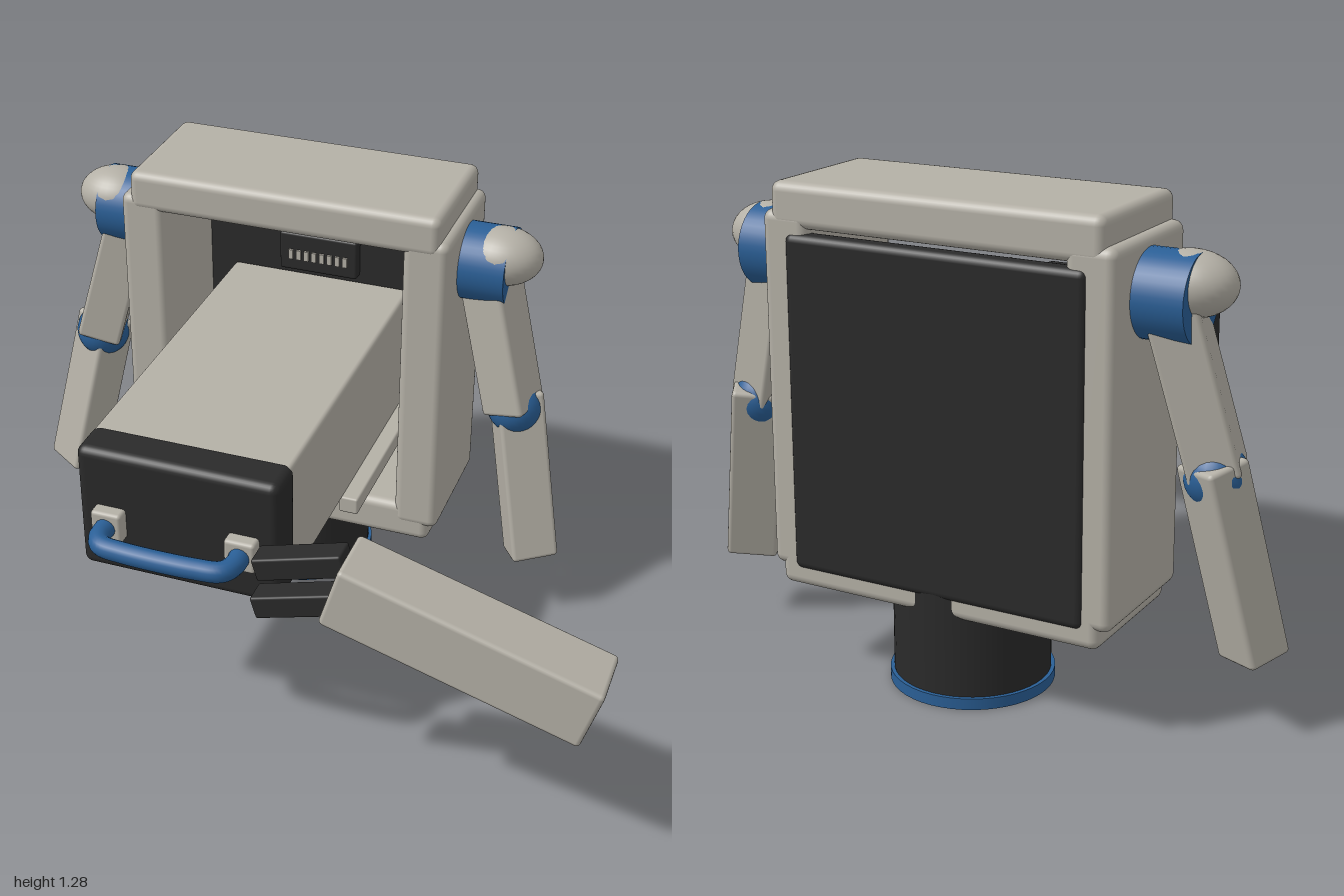
import * as THREE from 'three';
import { RoundedBoxGeometry } from 'three/addons/geometries/RoundedBoxGeometry.js';

const material = (name, color) => {
  const m = new THREE.MeshStandardMaterial({ color });
  m.name = name;
  return m;
};

export function createModel() {
  const shell = material('warm grey shell', 0xb4b0a6);
  const dark = material('charcoal', 0x2a2a2a);
  const blue = material('joint blue', 0x2a5f96);
  const model = new THREE.Group();
  model.name = 'cabinetRobot';
  const CX = -0.17; // centre line of the body

  const add = (parent, name, geometry, mat, x = 0, y = 0, z = 0) => {
    const mesh = new THREE.Mesh(geometry, mat);
    mesh.name = name;
    mesh.position.set(x, y, z);
    parent.add(mesh);
    return mesh;
  };
  // rounded box given by its limits on each axis
  const block = (name, mat, [x0, x1], [y0, y1], [z0, z1], r = 0.02) =>
    add(model, name, new RoundedBoxGeometry(x1 - x0, y1 - y0, z1 - z0, 3, r), mat,
      (x0 + x1) / 2, (y0 + y1) / 2, (z0 + z1) / 2);
  // rounded box running from one point to another, turned about its own length
  const limb = (parent, name, mat, from, to, w, d, turn) => {
    const a = new THREE.Vector3(...from), b = new THREE.Vector3(...to);
    const dir = b.clone().sub(a);
    const mesh = add(parent, name, new RoundedBoxGeometry(w, dir.length(), d, 2, 0.012), mat);
    mesh.position.copy(a).add(b).multiplyScalar(0.5);
    mesh.quaternion.setFromUnitVectors(new THREE.Vector3(0, -1, 0), dir.normalize());
    mesh.rotateY(turn);
    return mesh;
  };

  // Round pedestal
  add(model, 'pedestal', new THREE.CylinderGeometry(0.203, 0.203, 0.28, 48), dark, CX, 0.16, -0.472);
  add(model, 'pedestalRing', new THREE.CylinderGeometry(0.213, 0.213, 0.03, 48), blue, CX, 0.015, -0.472);

  // Cabinet frame and back
  block('frameTop', shell, [-0.62, 0.285], [1.17, 1.285], [-0.668, -0.272], 0.025);
  block('frameBottom', shell, [-0.62, 0.285], [0.235, 0.35], [-0.668, -0.278], 0.025);
  block('frameSideRight', shell, [-0.65, -0.52], [0.285, 1.213], [-0.668, -0.275], 0.025);
  block('frameSideLeft', shell, [0.18, 0.31], [0.285, 1.213], [-0.668, -0.275], 0.025);
  block('backPanel', dark, [-0.58, 0.24], [0.285, 1.16], [-0.677, -0.62], 0.02);

  // Keypad on the inside of the back
  block('keypad', dark, [-0.29, -0.05], [0.89, 1.01], [-0.63, -0.59], 0.008);
  for (let i = 0; i < 8; i++) {
    add(model, 'key', new THREE.BoxGeometry(0.014, 0.03, 0.008), shell, CX + (i - 3.5) * 0.024, 0.943, -0.587);
  }

  // Drawer, rails and handle
  block('drawer', shell, [-0.442, 0.105], [0.513, 0.873], [-0.62, 0.42], 0.012);
  block('drawerFront', dark, [-0.447, 0.11], [0.51, 0.877], [0.36, 0.483], 0.025);
  for (const s of [-1, 1]) {
    add(model, 'rail', new RoundedBoxGeometry(0.055, 0.05, 0.6, 2, 0.006), shell, CX - 0.007 + s * 0.3, 0.495, -0.325);
    add(model, 'handleMount', new RoundedBoxGeometry(0.085, 0.09, 0.05, 2, 0.01), shell, CX + s * 0.185, 0.668, 0.495);
  }
  const handlePath = new THREE.CatmullRomCurve3([
    [-0.185, 0.5], [-0.185, 0.555], [-0.165, 0.589], [-0.1, 0.6],
    [0.1, 0.6], [0.165, 0.589], [0.185, 0.555], [0.185, 0.5],
  ].map(([x, z]) => new THREE.Vector3(CX + x, 0.668, z)));
  add(model, 'handle', new THREE.TubeGeometry(handlePath, 60, 0.028, 16), blue);

  // Hanging arms, mirrored about the body centre
  for (const s of [-1, 1]) {
    const arm = new THREE.Group();
    arm.name = s > 0 ? 'leftArm' : 'rightArm';
    arm.position.x = CX;
    model.add(arm);
    const shoulder = add(arm, 'shoulderJoint', new THREE.CylinderGeometry(0.109, 0.109, 0.15, 40), blue, s * 0.535, 1.078, -0.482);
    shoulder.rotation.z = Math.PI / 2;
    const cap = add(arm, 'shoulderCap', new THREE.SphereGeometry(1, 32, 20), shell, s * 0.58, 1.11, -0.475);
    cap.scale.set(0.115, 0.08, 0.093);
    limb(arm, 'upperArm', shell, [s * 0.535, 1.09, -0.487], [s * 0.65, 0.65, -0.442], 0.13, 0.14, -s * 0.26);
    add(arm, 'elbow', new THREE.SphereGeometry(0.08, 28, 18), blue, s * 0.65, 0.65, -0.455);
    limb(arm, 'forearm', shell, [s * 0.645, 0.69, -0.475], [s * 0.742, 0.19, -0.4], 0.137, 0.12, s * 0.52);
  }

  // Separate reaching arm with a two-finger gripper
  const reach = new THREE.Group();
  reach.name = 'reachingArm';
  model.add(reach);
  const slab = (name, mat, w, h, d, x, y, angle, r) => {
    const mesh = add(reach, name, new RoundedBoxGeometry(w, h, d, 2, r), mat, x, y, 0.598);
    mesh.rotation.z = angle;
  };
  slab('reachingForearm', shell, 0.69, 0.178, 0.17, 0.638, 0.637, -0.29, 0.012);
  slab('upperFinger', dark, 0.24, 0.062, 0.07, 0.215, 0.763, 0.29, 0.006);
  slab('lowerFinger', dark, 0.24, 0.062, 0.07, 0.21, 0.645, 0.29, 0.006);

  return model;
}
